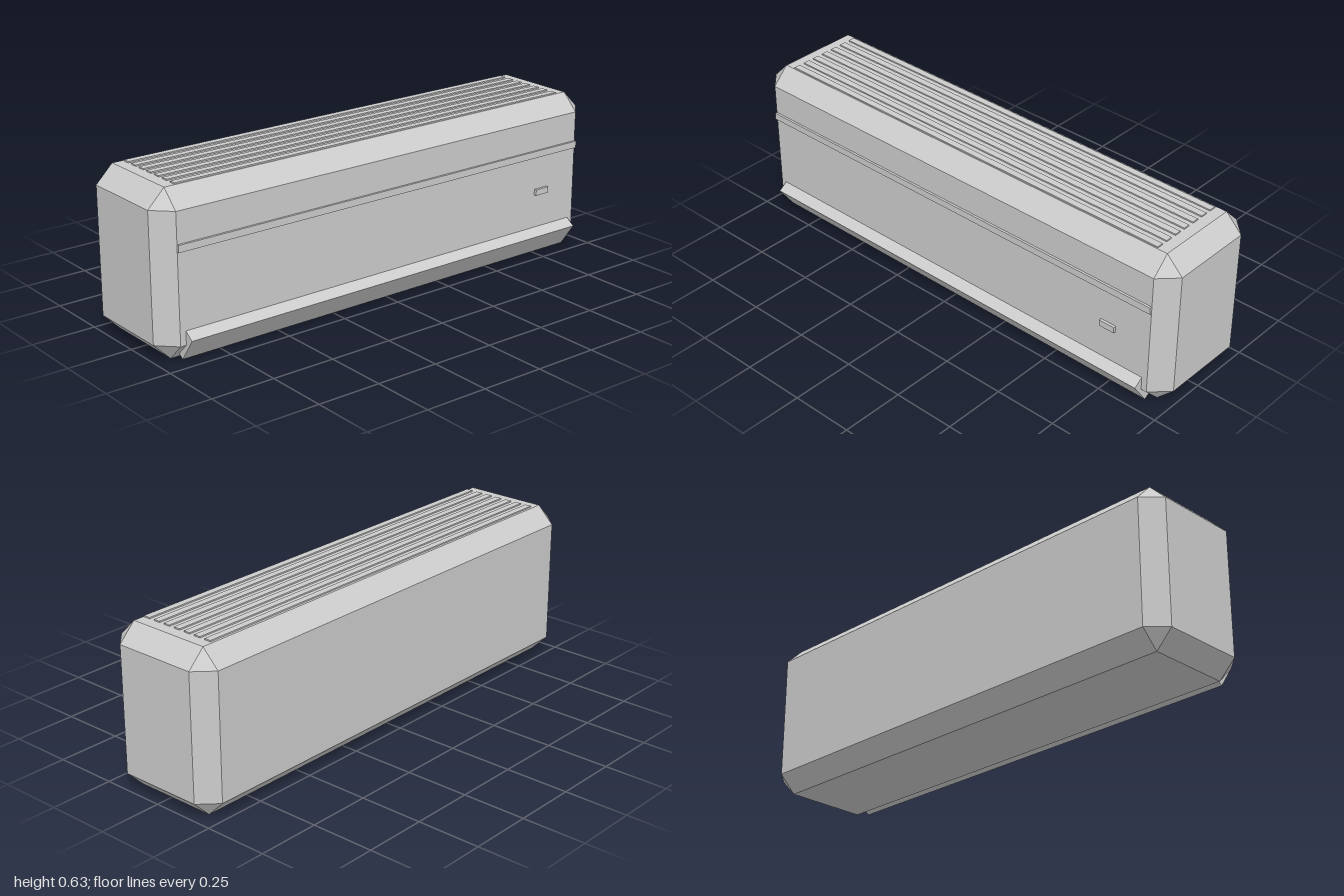
import * as THREE from 'three';
import { ConvexGeometry } from 'three/addons/geometries/ConvexGeometry.js';

export function createModel() {
  const group = new THREE.Group();
  const casing = new THREE.MeshStandardMaterial({ color: 0xcccccc });
  casing.name = 'light grey plastic';

  function add(name, geometry, x, y, z) {
    const mesh = new THREE.Mesh(geometry, casing);
    mesh.name = name;
    mesh.position.set(x, y, z);
    group.add(mesh);
    return mesh;
  }
  const box = (name, w, h, d, x, y, z) => add(name, new THREE.BoxGeometry(w, h, d), x, y, z);

  // Box with every edge bevelled: three points around each corner
  function chamferedBox(w, h, d, c) {
    const points = [];
    for (const sx of [-1, 1]) for (const sy of [-1, 1]) for (const sz of [-1, 1]) {
      const x = w / 2, y = h / 2, z = d / 2;
      points.push(
        new THREE.Vector3(sx * x, sy * (y - c), sz * (z - c)),
        new THREE.Vector3(sx * (x - c), sy * y, sz * (z - c)),
        new THREE.Vector3(sx * (x - c), sy * (y - c), sz * z));
    }
    return new ConvexGeometry(points);
  }

  // Main housing
  const height = 0.623;
  add('housing', chamferedBox(2, height, 0.467, 0.067), 0, height / 2, -0.0175);

  // Raised strip and small display on the front
  box('frontStrip', 1.866, 0.027, 0.012, 0, 0.4245, 0.219);
  box('display', 0.065, 0.024, 0.0115, 0.754, 0.267, 0.2213);

  // Intake slats on top
  for (let i = 0; i < 7; i++) {
    box('intakeSlat' + (i + 1), 1.78, 0.008, 0.027, 0, 0.624, 0.132 - i * 0.0488);
  }

  // Outlet flap, tilted so its face looks forward and down
  const flap = new THREE.Group();
  flap.name = 'outletFlap';
  const depth = 0.06;
  const plate = new THREE.Mesh(new THREE.BoxGeometry(1.82, 0.11, depth), casing);
  plate.name = 'flapPlate';
  plate.position.z = -depth / 2;
  flap.add(plate);
  flap.position.set(0, 0.049, 0.221);
  flap.rotation.x = 0.617;
  group.add(flap);

  return group;
}
